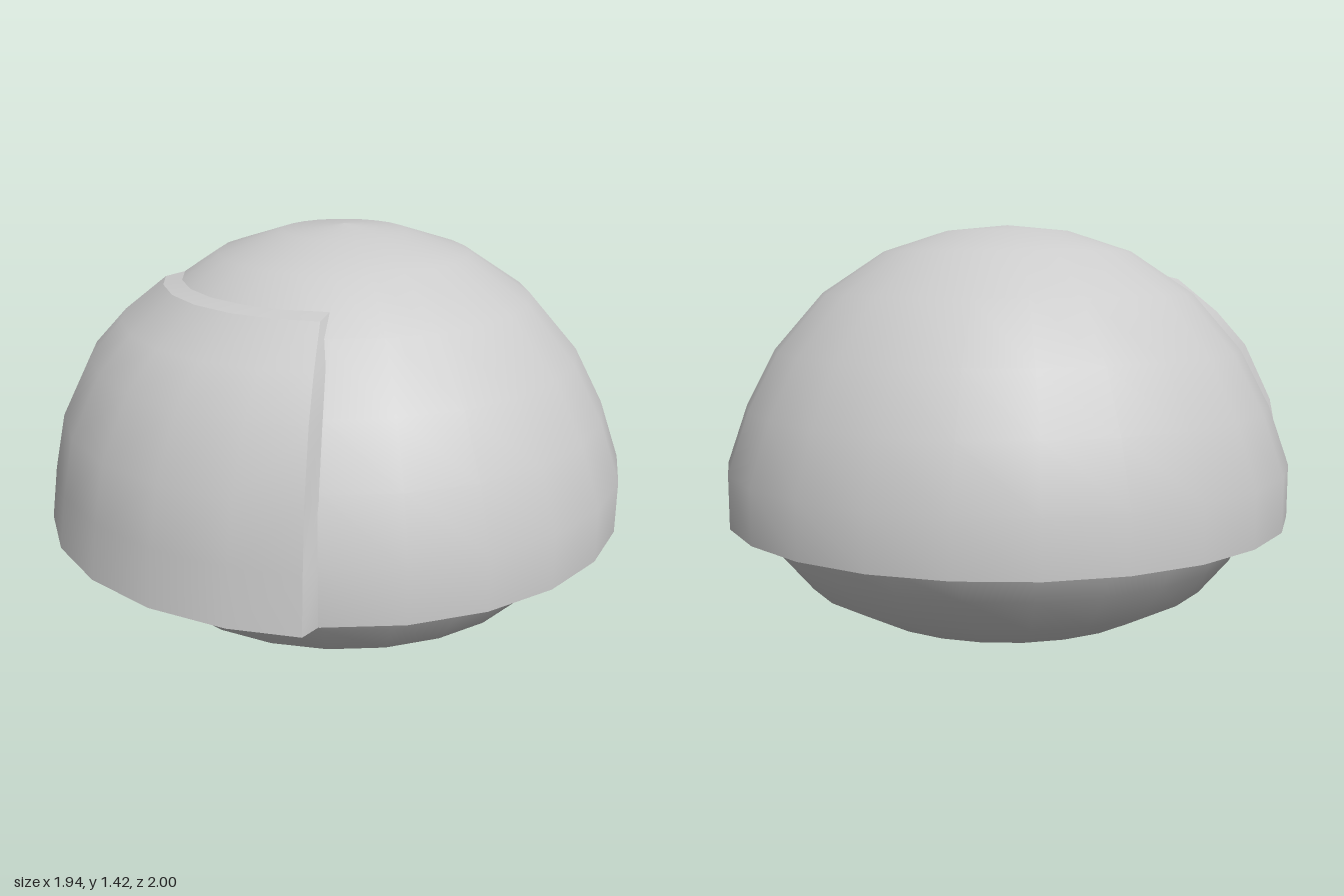
import * as THREE from 'three';

const grey = new THREE.MeshStandardMaterial({ color: 0xcccccc });
const greyDouble = new THREE.MeshStandardMaterial({ color: 0xcccccc, side: THREE.DoubleSide });
const SIDES = 24;

function turned(name, profile) {
  const points = profile.map(([r, y]) => new THREE.Vector2(r, y));
  const mesh = new THREE.Mesh(new THREE.LatheGeometry(points, SIDES), grey);
  mesh.name = name;
  return mesh;
}

// Skin between rows of points; columns run to the right, rows run upward
function skin(name, rows) {
  const cols = rows[0].length, index = [];
  for (let i = 0; i < rows.length - 1; i++) {
    for (let j = 0; j < cols - 1; j++) {
      const a = i * cols + j, b = a + 1, c = a + cols, d = c + 1;
      index.push(a, b, d, a, d, c);
    }
  }
  const geometry = new THREE.BufferGeometry();
  geometry.setAttribute('position', new THREE.Float32BufferAttribute(rows.flat(2), 3));
  geometry.setIndex(index);
  geometry.computeVertexNormals();
  const mesh = new THREE.Mesh(geometry, greyDouble);
  mesh.name = name;
  return mesh;
}

function polar(r, y, degrees) {
  const a = THREE.MathUtils.degToRad(degrees);
  return [r * Math.sin(a), y, r * Math.cos(a)];
}

function frontPanel() {
  const panel = new THREE.Group();
  panel.name = 'frontPanel';
  // Height, outer radius and inner radius of each row
  const levels = [
    [0.43, 1.03, 0.965], [0.61, 1.005, 0.965], [0.8, 0.965, 0.895],
    [1.0, 0.865, 0.795], [1.12, 0.755, 0.69], [1.235, 0.61, 0.54],
  ];
  const outerAngles = [-42.6, -30, -15, 0, 15, 30, 42.6];
  const innerAngles = [-45, -30, -15, 0, 15, 30, 45];
  const outer = levels.map(([y, r]) => outerAngles.map((a) => polar(r, y, a)));
  const inner = levels.map(([y, , r], i) =>
    innerAngles.map((a) => polar(r, i === levels.length - 1 ? y + 0.015 : y, a)));
  const top = levels.length - 1, last = outerAngles.length - 1;

  panel.add(
    skin('panelFace', outer),
    skin('panelTopEdge', [outer[top], inner[top]]),
    skin('panelBottomEdge', [inner[0], outer[0]]),
    skin('panelLeftEdge', outer.map((row, i) => [row[last], inner[i][last]])),
    skin('panelRightEdge', outer.map((row, i) => [inner[i][0], row[0]])),
  );
  return panel;
}

export function createModel() {
  const model = new THREE.Group();
  model.name = 'domedShell';

  // Upper dome with a short upright wall
  model.add(turned('dome', [
    [0.97, 0.43], [0.97, 0.61], [0.9, 0.81], [0.8, 1.0],
    [0.635, 1.19], [0.425, 1.33], [0.21, 1.4], [0, 1.42],
  ]));
  // Underside of the rim
  model.add(turned('rimUnderside', [[0.84, 0.4], [0.97, 0.43]]));
  // Shallow bowl below
  model.add(turned('bowl', [
    [0, 0], [0.26, 0.03], [0.51, 0.1], [0.7, 0.2], [0.8, 0.32], [0.84, 0.4],
  ]));
  // Raised panel on the front
  model.add(frontPanel());

  model.children.forEach((part) => { part.position.z = -0.03; });
  return model;
}
